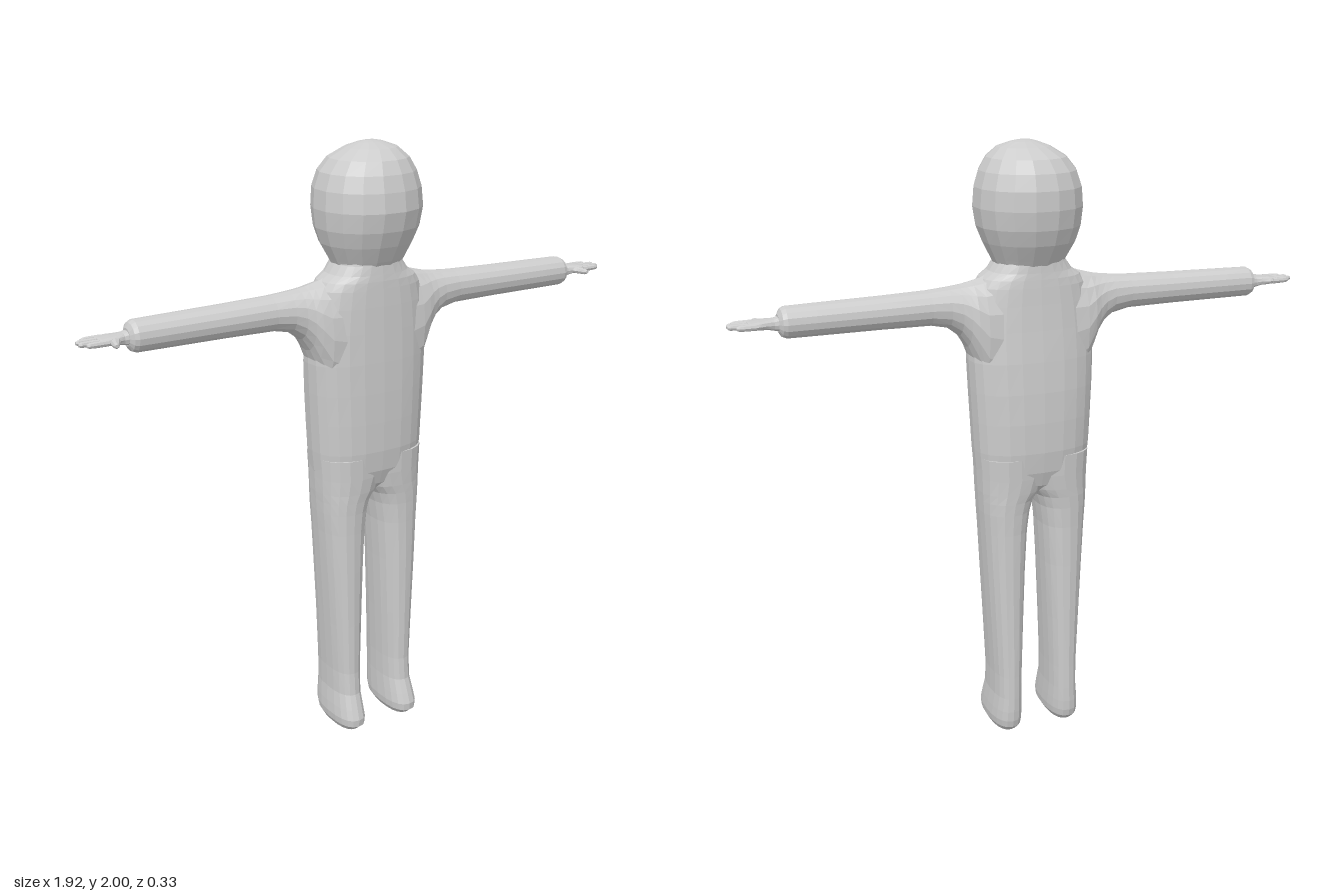
import * as THREE from 'three';

const skin = new THREE.MeshStandardMaterial({ color: 0xcccccc });
skin.name = 'plain grey';

// Faceted skin over rings [t, uMin, uMax, vMin, vMax]; power squares off the cross-section.
// Axis y: u = x, v = z.  Axis x: u = z, v = y.  Axis z: u = y, v = x.
function loft(name, axis, rings, { sides = 20, power = 2, side = 1, lean = 0 } = {}) {
  const pos = [], index = [];
  const add = (t, u, v) => {
    const p = axis === 'y' ? [u, t, v] : axis === 'x' ? [t, v, u] : [v, u, t];
    pos.push(p[0] * side, p[1], p[2]);
  };
  const bend = (c) => Math.sign(c) * Math.abs(c) ** (2 / power);
  for (const [t, u0, u1, v0, v1] of rings) {
    for (let j = 0; j < sides; j++) {
      const a = ((j + lean) / sides) * Math.PI * 2;
      add(t, (u0 + u1) / 2 + bend(Math.cos(a)) * (u1 - u0) / 2,
        (v0 + v1) / 2 + bend(Math.sin(a)) * (v1 - v0) / 2);
    }
  }
  const tri = (a, b, c) => (side > 0 ? index.push(a, b, c) : index.push(a, c, b));
  const last = rings.length - 1;
  for (let i = 0; i < last; i++) {
    for (let j = 0; j < sides; j++) {
      const k = (j + 1) % sides, a = i * sides, b = a + sides;
      tri(a + j, b + j, a + k);
      tri(a + k, b + j, b + k);
    }
  }
  // end caps
  for (const [i, flip] of [[0, false], [last, true]]) {
    const [t, u0, u1, v0, v1] = rings[i];
    const c = pos.length / 3;
    add(t, (u0 + u1) / 2, (v0 + v1) / 2);
    for (let j = 0; j < sides; j++) {
      const a = i * sides + j, b = i * sides + (j + 1) % sides;
      if (flip) tri(c, b, a); else tri(c, a, b);
    }
  }
  const indexed = new THREE.BufferGeometry();
  indexed.setAttribute('position', new THREE.Float32BufferAttribute(pos, 3));
  indexed.setIndex(index);
  const geometry = indexed.toNonIndexed();
  geometry.computeVertexNormals();
  const mesh = new THREE.Mesh(geometry, skin);
  mesh.name = name;
  return mesh;
}

function makeHand(side) {
  const hand = new THREE.Group();
  hand.name = side > 0 ? 'leftHand' : 'rightHand';
  hand.add(loft('palm', 'x', [
    [0.79, -0.036, 0.024, 1.468, 1.522],
    [0.825, -0.032, 0.02, 1.475, 1.512],
    [0.845, -0.036, 0.027, 1.48, 1.511],
    [0.87, -0.044, 0.033, 1.482, 1.51],
    [0.895, -0.047, 0.035, 1.486, 1.507],
    [0.902, -0.044, 0.032, 1.49, 1.504],
  ], { sides: 12, power: 2.6, side }));
  // four fingers: z centre and tip x
  [[-0.038, 0.94], [-0.016, 0.962], [0.007, 0.962], [0.028, 0.945]].forEach(([z, tip], i) => {
    const ring = (x, r) => [x, z - r, z + r, 1.496 - r, 1.496 + r];
    hand.add(loft(`finger${i + 1}`, 'x',
      [ring(0.88, 0.01), ring(0.92, 0.0095), ring(tip - 0.008, 0.0085), ring(tip, 0.005)],
      { sides: 8, side }));
  });
  hand.add(loft('thumb', 'z', [
    [0.01, 1.483, 1.508, 0.83, 0.875],
    [0.035, 1.483, 1.505, 0.847, 0.876],
    [0.058, 1.484, 1.503, 0.858, 0.878],
    [0.067, 1.489, 1.499, 0.864, 0.876],
  ], { sides: 8, side }));
  return hand;
}

export function createModel() {
  const model = new THREE.Group();
  model.name = 'figure';

  // torso, tucked in between the legs below and into the head above
  model.add(loft('torso', 'y', [
    [0.845, -0.05, 0.05, -0.03, 0.02],
    [0.865, -0.1, 0.1, -0.07, 0.055],
    [0.9, -0.165, 0.165, -0.108, 0.09],
    [0.95, -0.19, 0.19, -0.124, 0.107],
    [1.02, -0.196, 0.196, -0.132, 0.115],
    [1.12, -0.201, 0.201, -0.133, 0.117],
    [1.22, -0.206, 0.206, -0.13, 0.117],
    [1.32, -0.21, 0.21, -0.123, 0.116],
    [1.42, -0.206, 0.206, -0.113, 0.114],
    [1.5, -0.196, 0.196, -0.106, 0.112],
    [1.555, -0.182, 0.182, -0.102, 0.11],
    [1.58, -0.165, 0.165, -0.1, 0.109],
    [1.6, -0.135, 0.135, -0.098, 0.107],
    [1.63, -0.113, 0.113, -0.096, 0.104],
    [1.68, -0.1, 0.1, -0.09, 0.095],
  ], { sides: 24, power: 2.5 }));

  // head, its crown a little off centre
  model.add(loft('head', 'y', [
    [1.61, -0.105, 0.11, -0.09, 0.095],
    [1.64, -0.12, 0.125, -0.108, 0.112],
    [1.69, -0.146, 0.15, -0.138, 0.138],
    [1.74, -0.162, 0.17, -0.157, 0.158],
    [1.8, -0.168, 0.179, -0.167, 0.17],
    [1.86, -0.163, 0.175, -0.165, 0.163],
    [1.91, -0.146, 0.16, -0.15, 0.148],
    [1.95, -0.114, 0.137, -0.124, 0.124],
    [1.98, -0.066, 0.102, -0.075, 0.084],
    [1.995, -0.026, 0.06, -0.03, 0.04],
    [2.0, -0.005, 0.035, -0.008, 0.018],
  ], { sides: 16, power: 2.15, lean: 0.5 }));

  for (const side of [1, -1]) {
    const label = side > 0 ? 'left' : 'right';

    // leg with the foot pushed forward
    model.add(loft(`${label}Leg`, 'y', [
      [0, 0.08, 0.125, -0.06, 0.07],
      [0.01, 0.065, 0.145, -0.088, 0.105],
      [0.03, 0.053, 0.156, -0.108, 0.128],
      [0.055, 0.05, 0.159, -0.114, 0.13],
      [0.09, 0.051, 0.156, -0.116, 0.118],
      [0.14, 0.053, 0.15, -0.116, 0.1],
      [0.22, 0.052, 0.15, -0.115, 0.094],
      [0.4, 0.045, 0.159, -0.114, 0.096],
      [0.6, 0.036, 0.17, -0.113, 0.098],
      [0.74, 0.027, 0.178, -0.113, 0.098],
      [0.81, 0.017, 0.183, -0.115, 0.099],
      [0.85, 0.004, 0.185, -0.117, 0.101],
      [0.88, -0.02, 0.187, -0.119, 0.103],
      [0.93, -0.04, 0.189, -0.122, 0.106],
      [1.0, -0.04, 0.192, -0.125, 0.108],
    ], { power: 2.4, side }));

    // arm flaring into the shoulder, blunt at the cuff
    model.add(loft(`${label}Arm`, 'x', [
      [0.12, -0.1, 0.1, 1.2, 1.598],
      [0.17, -0.098, 0.095, 1.24, 1.582],
      [0.2, -0.09, 0.085, 1.315, 1.574],
      [0.22, -0.08, 0.075, 1.365, 1.569],
      [0.245, -0.072, 0.066, 1.405, 1.565],
      [0.28, -0.066, 0.059, 1.432, 1.561],
      [0.34, -0.062, 0.053, 1.445, 1.556],
      [0.5, -0.06, 0.05, 1.447, 1.551],
      [0.7, -0.057, 0.047, 1.447, 1.547],
      [0.79, -0.055, 0.045, 1.447, 1.545],
      [0.803, -0.05, 0.04, 1.453, 1.538],
      [0.812, -0.034, 0.024, 1.468, 1.522],
    ], { sides: 16, power: 2.1, side }));

    model.add(makeHand(side));
  }
  return model;
}
